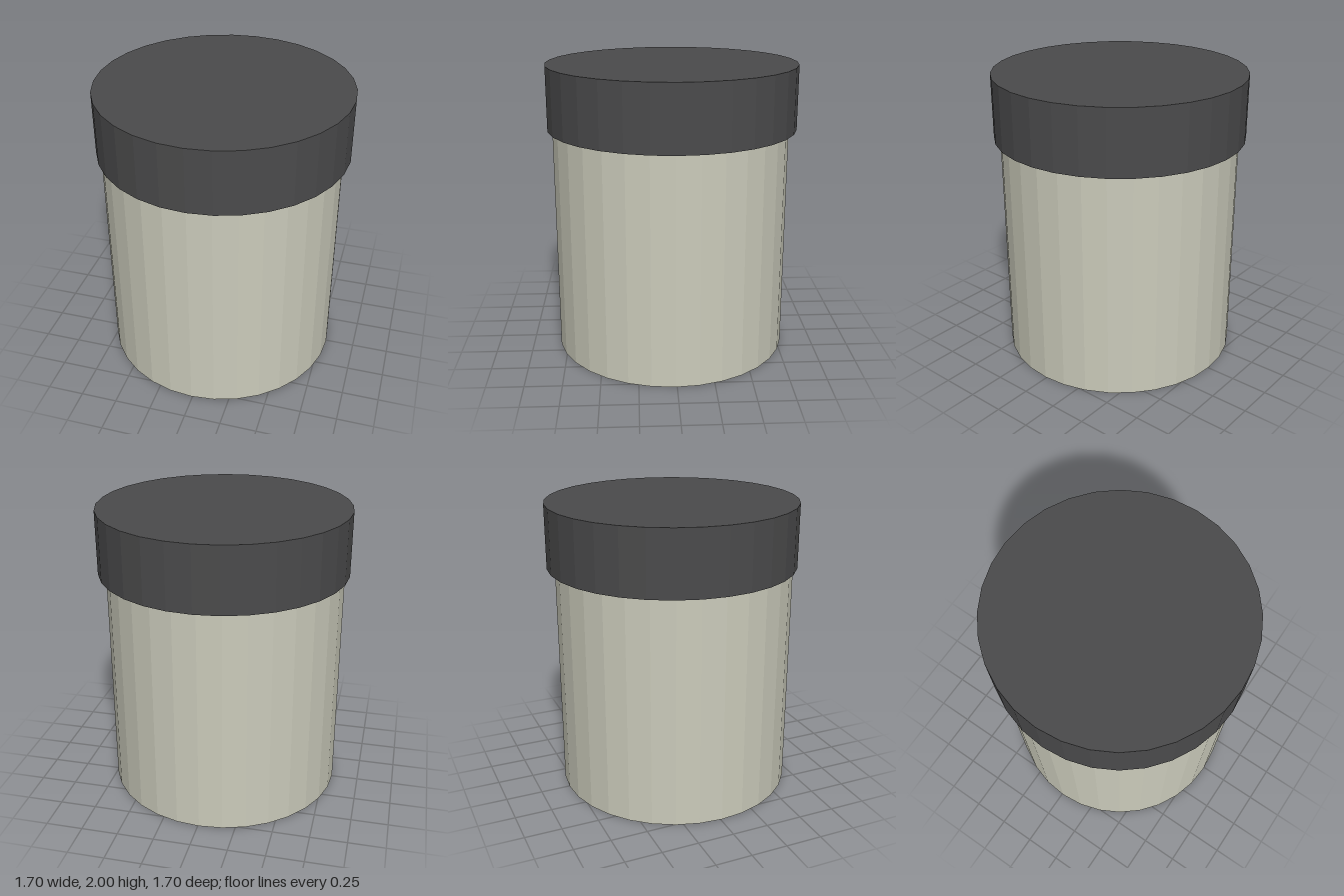
import * as THREE from 'three';

const SIDES = 32;

// Faceted upright cylinder standing on height y0
function drum(name, radius, y0, y1, color) {
  const geometry = new THREE.CylinderGeometry(radius, radius, y1 - y0, SIDES);
  const material = new THREE.MeshStandardMaterial({ color, flatShading: true });
  const mesh = new THREE.Mesh(geometry, material);
  mesh.name = name;
  mesh.position.y = (y0 + y1) / 2;
  return mesh;
}

export function createModel() {
  const model = new THREE.Group();
  model.name = 'lidded jar';

  // Jar body, sitting slightly off the lid's axis
  const body = drum('body', 0.808, 0, 1.57, 0xcbcbbb);
  body.position.x = -0.008;
  body.position.z = 0.01;

  // Overhanging lid
  const lid = drum('lid', 0.85, 1.565, 2, 0x4b4b4c);

  model.add(body, lid);
  return model;
}
